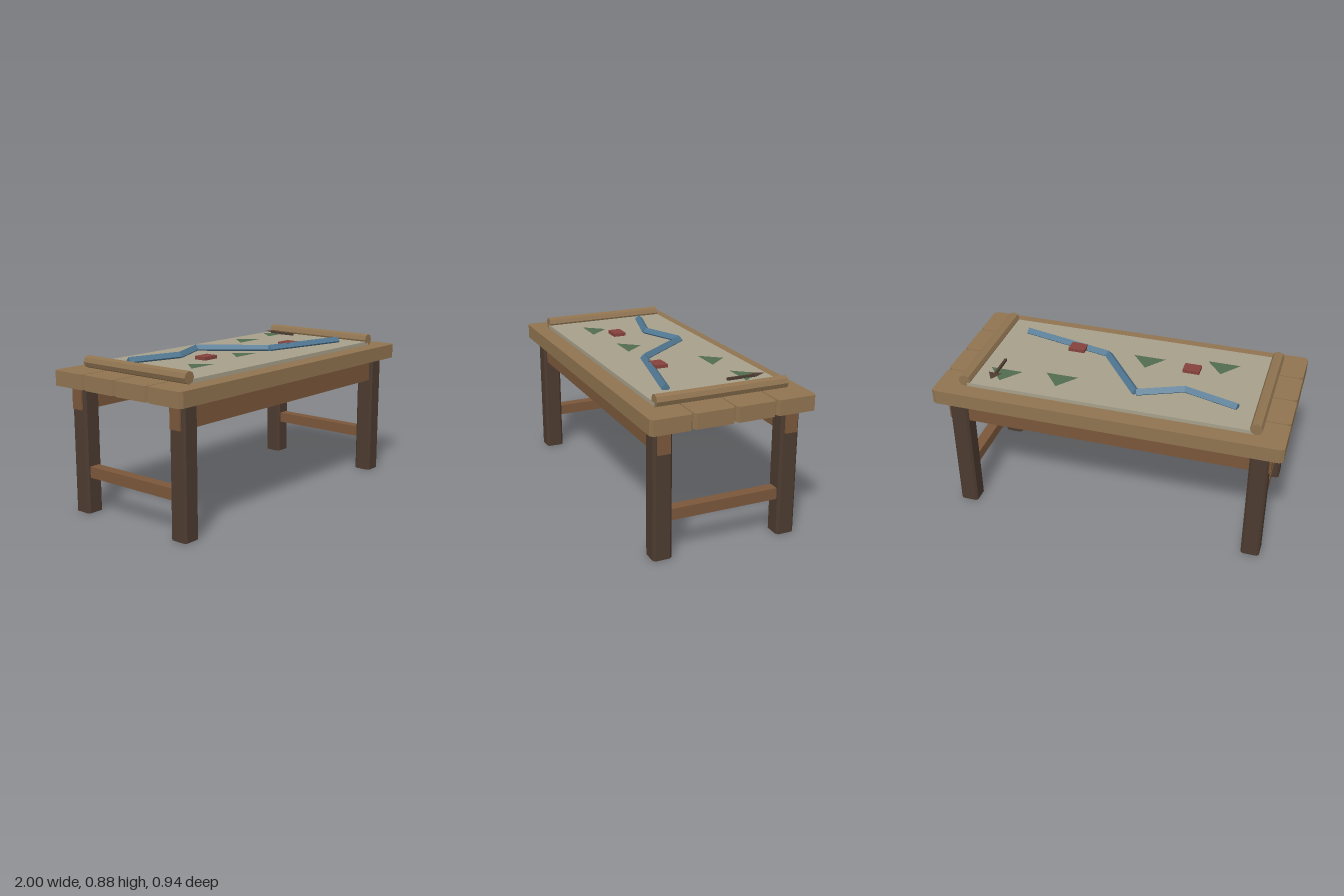
import * as THREE from 'three';

const mat = (color, extra = {}) => new THREE.MeshStandardMaterial({ color, flatShading: true, ...extra });

export function createModel() {
  const group = new THREE.Group();
  const wood = mat(0x8f7350);
  const darkWood = mat(0x4c3b30);
  const redWood = mat(0x7a573b);
  const parchment = mat(0xa69f8a);
  const water = mat(0x4f7690);
  const green = mat(0x516b4f, { side: THREE.DoubleSide });
  const red = mat(0x85423c);
  const arrowFlat = mat(0x4c3b30, { side: THREE.DoubleSide });

  const add = (name, geometry, material, x, y, z) => {
    const mesh = new THREE.Mesh(geometry, material);
    mesh.name = name;
    mesh.position.set(x, y, z);
    group.add(mesh);
    return mesh;
  };
  const box = (w, h, d) => new THREE.BoxGeometry(w, h, d);

  // Block standing on its base, with its four vertical edges cut off
  const chamferedBlock = (w, h, d, cx, cz) => {
    const a = w / 2, b = d / 2;
    const shape = new THREE.Shape([
      [a - cx, -b], [a, -b + cz], [a, b - cz], [a - cx, b],
      [-a + cx, b], [-a, b - cz], [-a, -b + cz], [-a + cx, -b],
    ].map(([x, y]) => new THREE.Vector2(x, y)));
    return new THREE.ExtrudeGeometry(shape, { depth: h, bevelEnabled: false }).rotateX(-Math.PI / 2);
  };

  // Flat triangle lying face up, its tip pointing to the back
  const flatTriangle = (w, h) => new THREE.ShapeGeometry(new THREE.Shape([
    new THREE.Vector2(-w / 2, 0), new THREE.Vector2(w / 2, 0), new THREE.Vector2(0, h),
  ])).rotateX(-Math.PI / 2);

  // Table top planks
  for (let i = 0; i < 4; i++) {
    add('plank', chamferedBlock(2, 0.085, 0.231, 0.022, 0.012), wood, 0, 0.727, (i - 1.5) * 0.237);
  }

  // Legs, aprons, stretchers and the rolled ends of the map
  for (const s of [-1, 1]) {
    for (const t of [-1, 1]) {
      add('leg', chamferedBlock(0.107, 0.727, 0.107, 0.013, 0.013), darkWood, s * 0.87, 0, t * 0.3685);
    }
    add('apron', box(1.87, 0.133, 0.07), redWood, 0, 0.6605, s * 0.368);
    add('stretcher', box(0.064, 0.064, 0.64), redWood, s * 0.87, 0.239, 0);
    const roll = new THREE.CylinderGeometry(0.035, 0.035, 0.756, 8).rotateX(Math.PI / 2);
    add('mapRoll', roll, wood, s * 0.833, 0.848, 0);
  }

  // Map sheet
  add('mapSheet', box(1.67, 0.022, 0.756), parchment, 0, 0.827, 0);

  // River: four-sided bars between the bends
  const bends = [[-0.70, -0.2], [-0.385, -0.112], [-0.13, -0.22], [0.135, 0.125], [0.68, 0.245]];
  for (let i = 0; i < bends.length - 1; i++) {
    const [x0, z0] = bends[i], [x1, z1] = bends[i + 1];
    const length = Math.hypot(x1 - x0, z1 - z0);
    const bar = new THREE.CylinderGeometry(0.025, 0.025, length, 4).rotateZ(Math.PI / 2);
    const river = add('river', bar, water, (x0 + x1) / 2, 0.848, (z0 + z1) / 2);
    river.rotation.y = -Math.atan2(z1 - z0, x1 - x0);
  }

  // Tree symbols
  for (const [x, z] of [[-0.543, 0.214], [-0.11, 0.16], [0.32, -0.167], [0.645, -0.2]]) {
    add('tree', flatTriangle(0.191, 0.117), green, x, 0.848, z);
  }

  // House markers
  for (const [x, z] of [[-0.38, 0.085], [0.322, 0.125]]) {
    add('house', box(0.098, 0.019, 0.075), red, x, 0.862, z);
  }

  // North arrow
  add('arrowShaft', box(0.014, 0.014, 0.175), darkWood, 0.69, 0.853, -0.197);
  add('arrowHead', flatTriangle(0.08, 0.07), arrowFlat, 0.69, 0.859, -0.265);

  return group;
}
